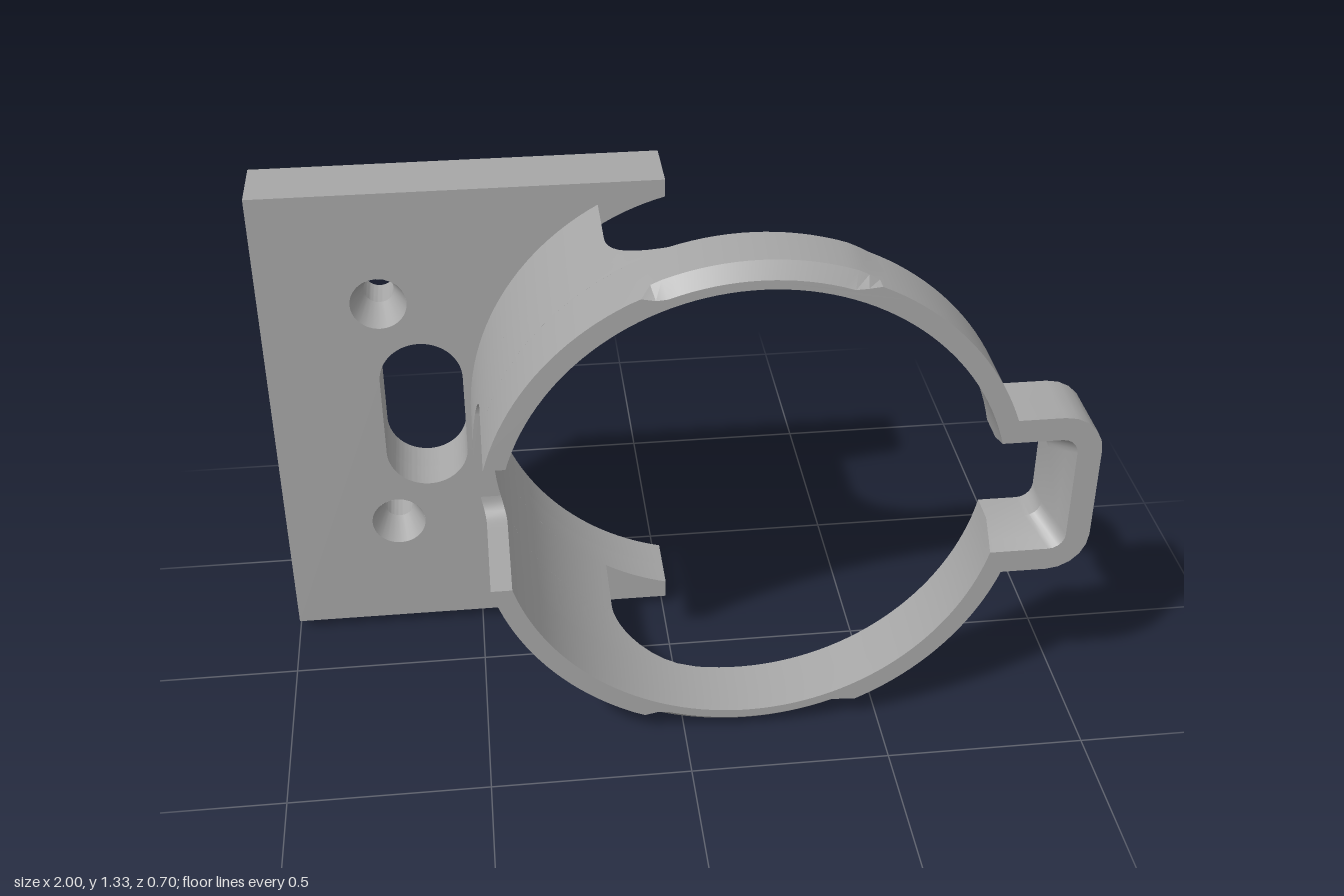
import * as THREE from 'three';
import { toCreasedNormals } from 'three/addons/utils/BufferGeometryUtils.js';

const CX = 0.165, CY = 0.665;      // ring axis
const R = 0.66, RI = 0.61;         // outer and inner ring radius
const NOTCH = 0.175;               // half height of the side notch
const PI = Math.PI;

// points along an arc about the origin; the radius may depend on the angle
function arc(r, a0, a1, n) {
  const pts = [];
  for (let i = 0; i <= n; i++) {
    const a = a0 + (a1 - a0) * i / n;
    const rr = typeof r === 'function' ? r(a) : r;
    pts.push(new THREE.Vector2(rr * Math.cos(a), rr * Math.sin(a)));
  }
  return pts;
}

// rounded end of a rectangle reaching x, from bottom corner to top corner
function roundedEnd(x, h, r) {
  const move = (pts, dy) => pts.map(p => p.add(new THREE.Vector2(x - r, dy)));
  return [...move(arc(r, -PI / 2, 0, 5), r - h), ...move(arc(r, 0, PI / 2, 5), h - r)];
}

// solid through counter-clockwise outlines stacked along z
function loft(levels) {
  const pos = [];
  const put = (l, i) => pos.push(l.pts[i].x, l.pts[i].y, l.z);
  const n = levels[0].pts.length;
  for (let k = 0; k + 1 < levels.length; k++) {
    const A = levels[k], B = levels[k + 1];
    for (let i = 0; i < n; i++) {
      const j = (i + 1) % n;
      put(A, i); put(A, j); put(B, j);
      put(A, i); put(B, j); put(B, i);
    }
  }
  const first = levels[0], last = levels[levels.length - 1];
  for (const [a, b, c] of THREE.ShapeUtils.triangulateShape(first.pts, [])) {
    put(first, a); put(first, c); put(first, b);
  }
  for (const [a, b, c] of THREE.ShapeUtils.triangulateShape(last.pts, [])) {
    put(last, a); put(last, b); put(last, c);
  }
  const g = new THREE.BufferGeometry();
  g.setAttribute('position', new THREE.Float32BufferAttribute(pos, 3));
  return toCreasedNormals(g, 0.5);
}

// front band: open ring with a latch loop on the right and chamfered grip pads
function bandOutline(z) {
  const taper = Math.max(0, (z - 0.26) / 0.09);
  const h = 0.12 + 0.04 * taper;
  const padRise = z > 0.34 ? -0.027 : 0.006;
  const outerR = a => {
    const off = Math.abs(Math.abs(a) - PI / 2) * 180 / PI;
    return R + padRise * THREE.MathUtils.clamp((24 - off) / 3.5, 0, 1);
  };
  const a = Math.asin(NOTCH / R), ai = Math.asin(NOTCH / RI);
  const b = Math.asin(0.222 / R), c = Math.asin(h / RI);
  return [
    ...arc(outerR, -PI + a, -b, 60),
    ...roundedEnd(0.835, 0.222, 0.1),
    ...arc(outerR, b, PI - a, 60),
    ...arc(RI, PI - ai, c, 60),
    ...roundedEnd(0.735 + 0.04 * taper, h, 0.04).reverse(),
    ...arc(RI, -c, -PI + ai, 60),
  ];
}

// x of the free edge of the connecting wall, flaring towards the band
function wallEdge(z) {
  const s = THREE.MathUtils.clamp(z / 0.18, 0, 1);
  return 0.05 - 0.205 * Math.sqrt(1 - s * s) - CX;
}

// piece of the wall from height y0 (or the lower free edge) to the upper free edge
function wallOutline(z, y0) {
  const e = wallEdge(z);
  const end = r => Math.acos(e / r);
  const start = r => y0 === null ? 2 * PI - end(r) : PI - Math.asin(y0 / r);
  return [...arc(R, end(R), start(R), 48), ...arc(RI, start(RI), end(RI), 48)];
}

// half height of the notch, with rounded inner corners
function notchHalf(z) {
  const d = Math.max(0, 0.07 - z);
  return NOTCH - 0.05 + Math.sqrt(Math.max(0, 0.0025 - d * d));
}

function circlePath(x, y, r) {
  return new THREE.Path().absarc(x, y, r, 0, 2 * PI, true);
}

// mounting plate outline with the ring bite, slot and screw holes
function plateGeometry(holeR, depth) {
  const s = new THREE.Shape();
  const bite = Math.acos((0.01 - CX) / RI);
  s.moveTo(-1, 0.025);
  s.lineTo(0.01, 0.025);
  s.absarc(CX, CY, RI, 2 * PI - bite, bite, true);
  s.lineTo(0.01, 1.3);
  s.lineTo(-1, 1.3);
  s.closePath();
  const slot = new THREE.Path();
  slot.absarc(-0.615, 0.775, 0.105, 0, PI, false);
  slot.absarc(-0.615, 0.56, 0.105, PI, 2 * PI, false);
  slot.closePath();
  s.holes.push(slot, circlePath(-0.705, 1.0, holeR), circlePath(-0.705, 0.34, holeR));
  const g = new THREE.ExtrudeGeometry(s, { depth, bevelEnabled: false, curveSegments: 32 });
  return toCreasedNormals(g, 0.5);
}

export function createModel() {
  const model = new THREE.Group();
  const grey = new THREE.MeshStandardMaterial({ color: 0xa6a6a6 });
  grey.name = 'grey plastic';
  const inside = new THREE.MeshStandardMaterial({ color: 0xa6a6a6, side: THREE.DoubleSide });
  inside.name = 'grey plastic inside';
  const add = (name, geometry, x, y, z, material = grey) => {
    const m = new THREE.Mesh(geometry, material);
    m.name = name;
    m.position.set(x, y, z);
    model.add(m);
    return m;
  };

  // mounting plate in two layers, with countersunk screw holes in the front one
  add('plateBack', plateGeometry(0.038, 0.09), 0, 0, -0.35);
  add('plateFront', plateGeometry(0.07, 0.08), 0, 0, -0.26);
  for (const y of [0.34, 1.0]) {
    const cone = new THREE.CylinderGeometry(0.07, 0.038, 0.08, 24, 1, true).rotateX(PI / 2);
    add('countersink', cone, -0.705, y, -0.22, inside);
  }

  // curved wall joining plate and band
  const back = [-0.18, 0, 0.01, 0.02].map(z => ({ z, pts: wallOutline(z, null) }));
  add('wallBack', loft(back), CX, CY, 0);
  const zs = [0.02, 0.022, 0.027, 0.035, 0.045, 0.057, 0.07, 0.09, 0.11, 0.13, 0.15, 0.165, 0.175, 0.18];
  const upper = zs.map(z => ({ z, pts: wallOutline(z, notchHalf(z)) }));
  // the lower half mirrors the upper one, reversed to keep the winding
  const lower = upper.map(({ z, pts }) => ({
    z, pts: pts.map(p => new THREE.Vector2(p.x, -p.y)).reverse(),
  }));
  add('wallUpper', loft(upper), CX, CY, 0);
  add('wallLower', loft(lower), CX, CY, 0);

  // front band with latch loop
  const band = [0.18, 0.26, 0.315, 0.35].map(z => ({ z, pts: bandOutline(z) }));
  add('frontBand', loft(band), CX, CY, 0);

  return model;
}
